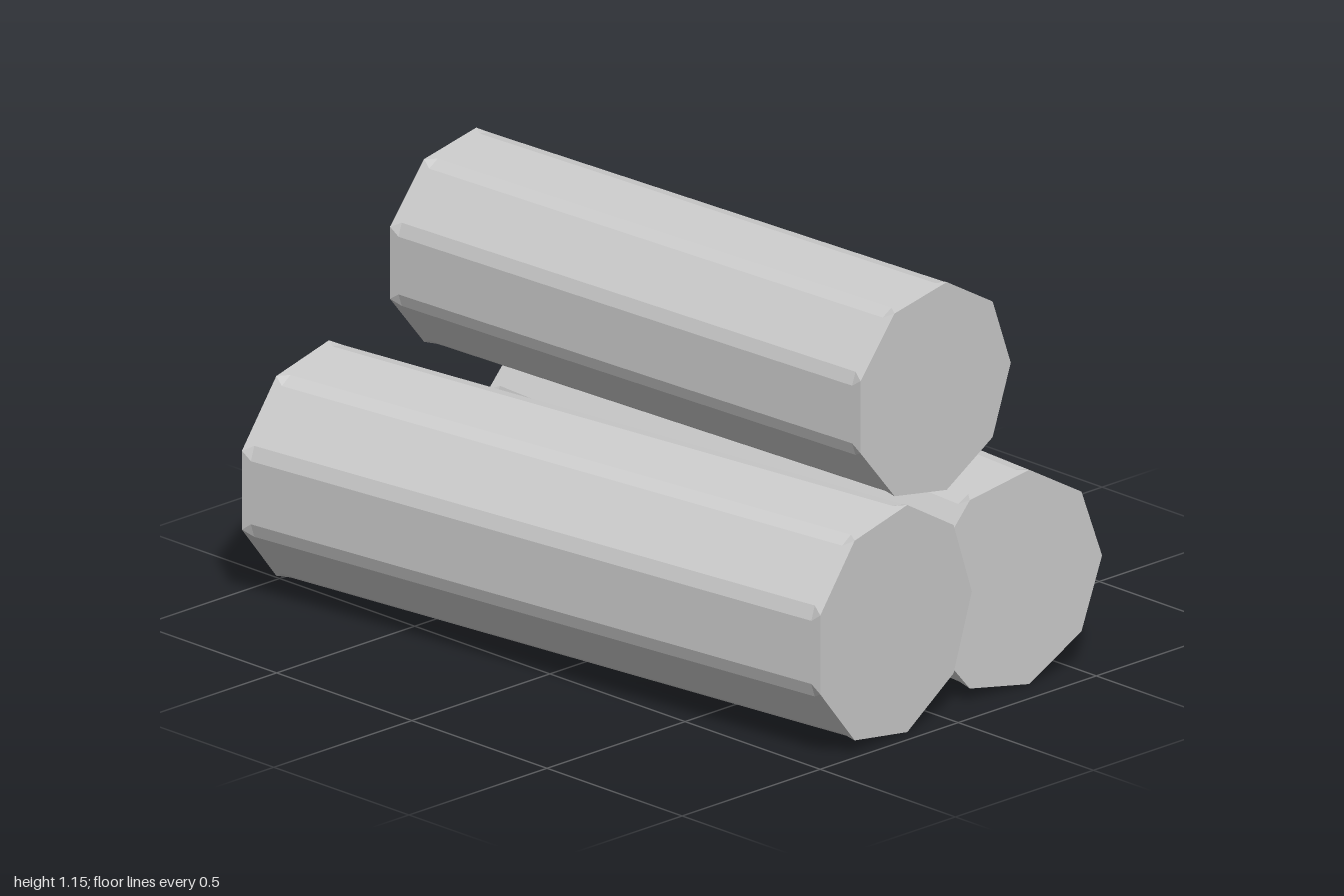
import * as THREE from 'three';

const SIDES = 9;
const material = new THREE.MeshStandardMaterial({ color: 0xcccccc, flatShading: true });

// Nine-sided log along x; its long edges are slightly chamfered, running out to sharp corners at the ends
function logGeometry(radius, length) {
  const h = length / 2, inner = h - 0.03, bevel = 0.1;
  const positions = [];
  const corner = (i, x) => {
    const a = (i * 2 * Math.PI) / SIDES;
    return new THREE.Vector3(x, radius * Math.sin(a), -radius * Math.cos(a));
  };
  // Point on side i, at fraction t from corner i to corner i + 1
  const onSide = (i, t, x) => corner(i, x).lerp(corner(i + 1, x), t);
  const tri = (...points) => points.forEach((p) => positions.push(p.x, p.y, p.z));
  const quad = (a, b, c, d) => { tri(a, b, c); tri(a, c, d); };

  for (let i = 0; i < SIDES; i++) {
    const left0 = corner(i, -h), left1 = corner(i + 1, -h);
    const right0 = corner(i, h), right1 = corner(i + 1, h);
    const inL0 = onSide(i, bevel, -inner), inL1 = onSide(i, 1 - bevel, -inner);
    const inR0 = onSide(i, bevel, inner), inR1 = onSide(i, 1 - bevel, inner);
    // Flat side
    quad(left0, left1, inL1, inL0);
    quad(inL0, inL1, inR1, inR0);
    quad(inR0, inR1, right1, right0);
    // Chamfer along corner i
    const prevL = onSide(i - 1, 1 - bevel, -inner), prevR = onSide(i - 1, 1 - bevel, inner);
    tri(left0, inL0, prevL);
    quad(prevL, inL0, inR0, prevR);
    tri(right0, prevR, inR0);
    // End caps
    tri(new THREE.Vector3(h, 0, 0), right0, right1);
    tri(new THREE.Vector3(-h, 0, 0), left1, left0);
  }
  const geometry = new THREE.BufferGeometry();
  geometry.setAttribute('position', new THREE.Float32BufferAttribute(positions, 3));
  geometry.computeVertexNormals();
  return geometry;
}

export function createModel() {
  const model = new THREE.Group();
  model.name = 'logPile';
  const logs = [
    { name: 'frontLog', radius: 0.318, length: 1.94, at: [0, 0.315, 0.302], yaw: 0.1065 },
    { name: 'backLog', radius: 0.3, length: 1.764, at: [0.04, 0.298, -0.34], yaw: -0.068 },
    { name: 'topLog', radius: 0.291, length: 1.68, at: [0.015, 0.865, -0.022], yaw: 0.036 },
  ];
  for (const { name, radius, length, at, yaw } of logs) {
    const log = new THREE.Mesh(logGeometry(radius, length), material);
    log.name = name;
    log.position.set(...at);
    log.rotation.y = yaw;
    model.add(log);
  }
  return model;
}
